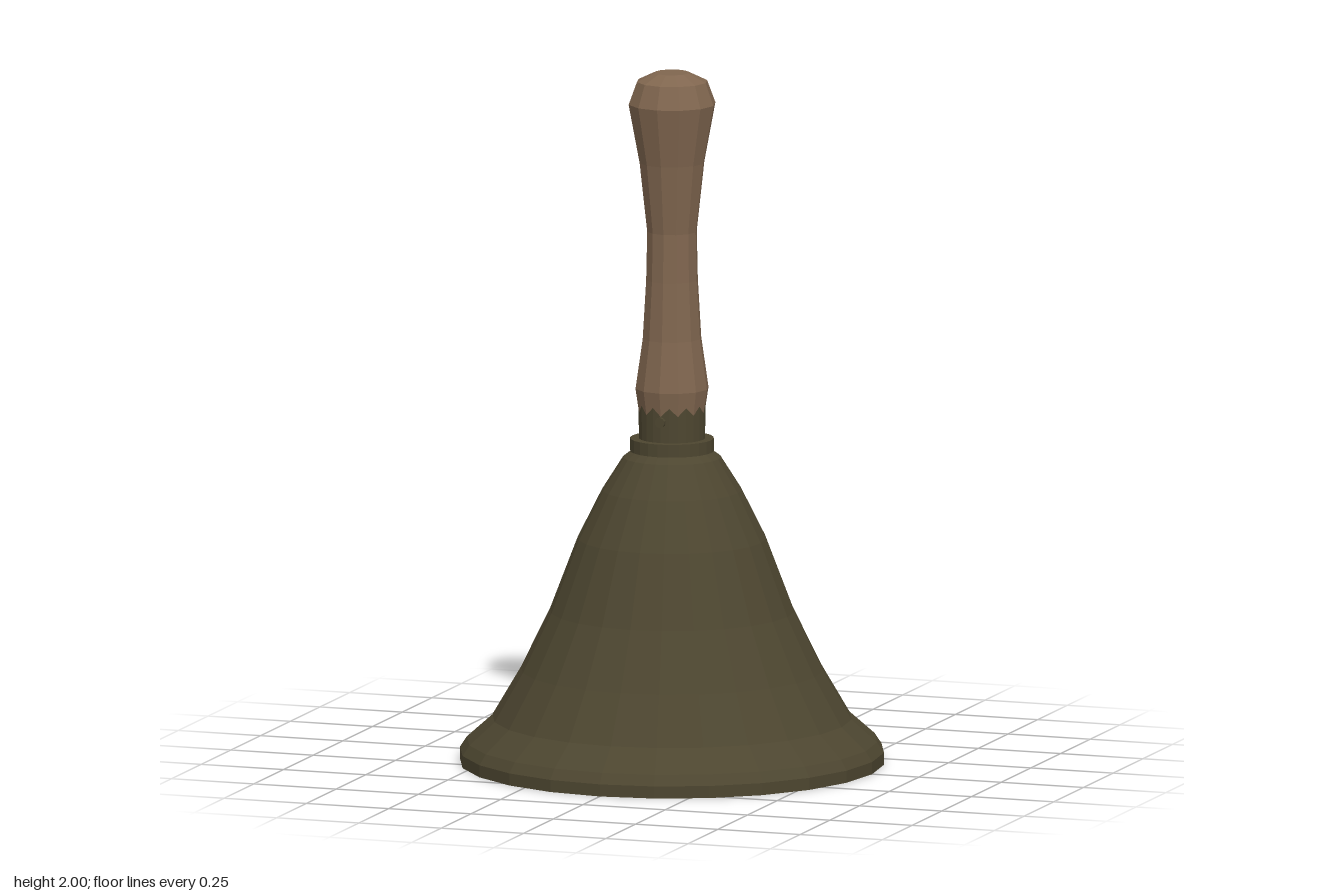
import * as THREE from 'three';

const brass = new THREE.MeshStandardMaterial({ color: 0x4d4630 });
brass.name = 'darkBrass';
const wood = new THREE.MeshStandardMaterial({ color: 0x80664f });
wood.name = 'brownWood';

// Faceted mesh: every face keeps its own normal
function facetedMesh(name, geometry, material) {
  const g = geometry.index ? geometry.toNonIndexed() : geometry;
  g.computeVertexNormals();
  const mesh = new THREE.Mesh(g, material);
  mesh.name = name;
  return mesh;
}

// Solid of revolution from [radius, height] pairs
function turned(name, profile, sides, material) {
  const points = profile.map(([r, y]) => new THREE.Vector2(r, y));
  return facetedMesh(name, new THREE.LatheGeometry(points, sides), material);
}

export function createModel() {
  const model = new THREE.Group();
  model.name = 'handBell';

  // Hollow bell: inside wall downwards, rim, then outside wall upwards
  model.add(turned('bell', [
    [0, 0.86], [0.11, 0.85], [0.175, 0.77], [0.245, 0.63], [0.325, 0.42],
    [0.405, 0.25], [0.49, 0.11], [0.575, 0.035], [0.58, 0],
    [0.608, 0], [0.608, 0.035], [0.588, 0.065], [0.515, 0.13], [0.433, 0.27],
    [0.35, 0.44], [0.27, 0.65], [0.2, 0.79], [0.14, 0.885], [0.11, 0.907], [0, 0.907],
  ], 24, brass));

  // Collar and neck socket
  model.add(turned('collar', [
    [0, 0.903], [0.12, 0.903], [0.12, 0.94], [0, 0.94],
  ], 24, brass));
  model.add(turned('neck', [
    [0.095, 0.93], [0.096, 1.055], [0, 1.055],
  ], 24, brass));

  // Turned wooden handle
  model.add(turned('handle', [
    [0, 0.985], [0.091, 0.985], [0.106, 1.085], [0.085, 1.23], [0.075, 1.4],
    [0.072, 1.54], [0.094, 1.74], [0.126, 1.91], [0.102, 1.975], [0.05, 2], [0, 2],
  ], 12, wood));

  // Pin through the front of the neck
  const pin = facetedMesh('pin', new THREE.CylinderGeometry(0.015, 0.015, 0.02, 10), brass);
  pin.rotation.x = Math.PI / 2;
  pin.position.set(0, 1, 0.095);
  model.add(pin);

  // Clapper hanging inside the bell
  const clapper = new THREE.Group();
  clapper.name = 'clapper';
  const ball = facetedMesh('clapperBall', new THREE.SphereGeometry(0.09, 12, 8), wood);
  ball.scale.y = 1.1;
  ball.position.y = 0.21;
  const rod = facetedMesh('clapperRod', new THREE.CylinderGeometry(0.018, 0.018, 0.6, 8), wood);
  rod.position.y = 0.57;
  clapper.add(ball, rod);
  clapper.position.set(0.015, 0, -0.015);
  model.add(clapper);

  return model;
}
